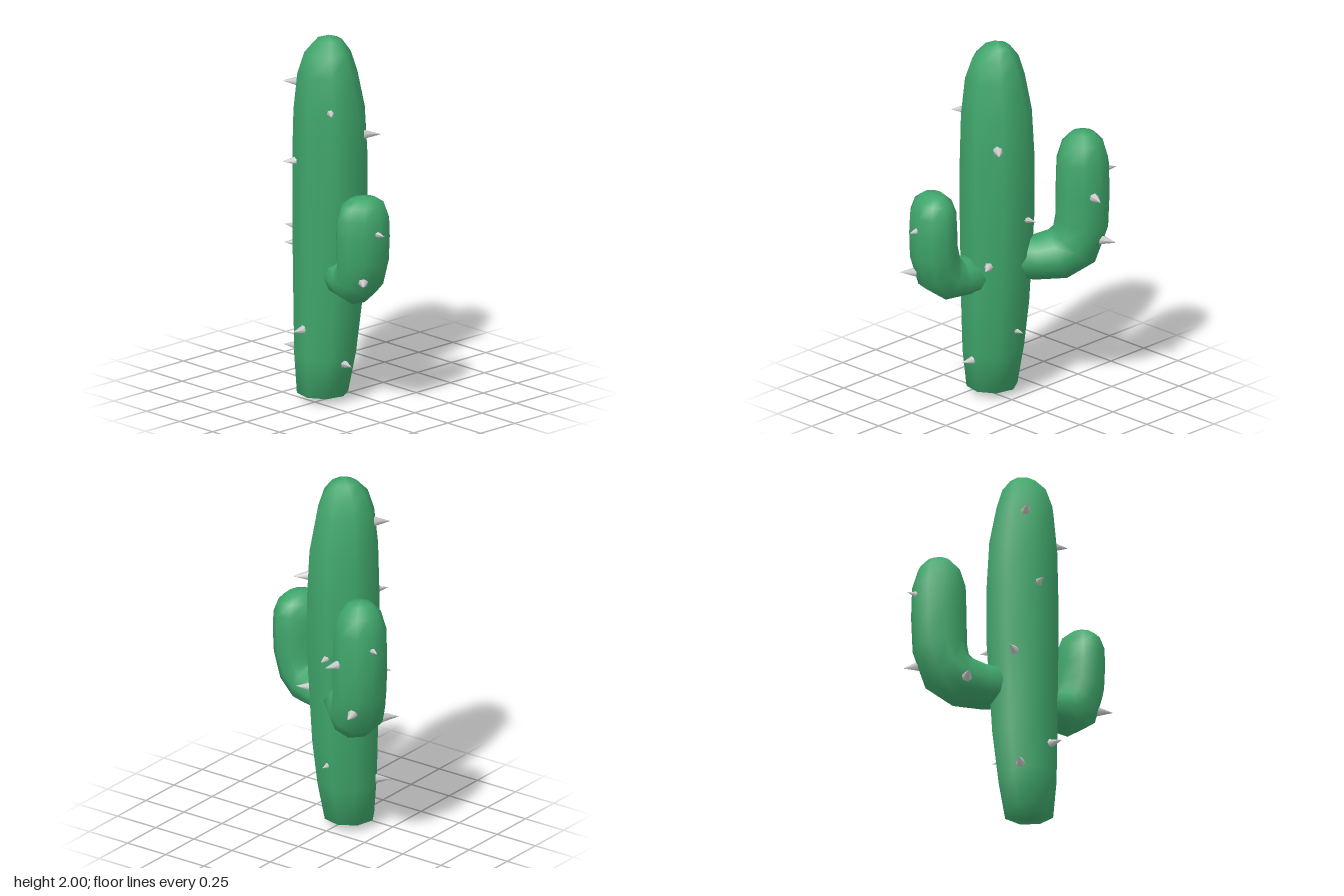
import * as THREE from 'three';
import { mergeVertices } from 'three/addons/utils/BufferGeometryUtils.js';

const green = new THREE.MeshStandardMaterial({ color: 0x3fa66b });
const grey = new THREE.MeshStandardMaterial({ color: 0xcccccc });
const UP = new THREE.Vector3(0, 1, 0);

// Skins rings [x, y, z, tilt, sideRadius, upRadius]; tilt 0 runs along dir, 90 runs straight up.
function loft(name, rings, dir, sides, phase) {
  const side = dir.clone().cross(UP);
  const pos = [], index = [];
  rings.forEach(([x, y, z, tilt, rs, ru], i) => {
    const t = THREE.MathUtils.degToRad(tilt);
    const u = UP.clone().multiplyScalar(Math.cos(t)).addScaledVector(dir, -Math.sin(t));
    for (let j = 0; j < sides; j++) {
      const a = phase + (j / sides) * Math.PI * 2;
      const p = new THREE.Vector3(x, y, z)
        .addScaledVector(side, rs * Math.cos(a))
        .addScaledVector(u, -ru * Math.sin(a));
      pos.push(p.x, p.y, p.z);
      if (i === 0) continue;
      const k = (j + 1) % sides, lo = (i - 1) * sides, hi = i * sides;
      index.push(lo + j, lo + k, hi + k, lo + j, hi + k, hi + j);
    }
  });
  let geo = new THREE.BufferGeometry();
  geo.setAttribute('position', new THREE.Float32BufferAttribute(pos, 3));
  geo.setIndex(index);
  geo = mergeVertices(geo, 1e-5);
  geo.computeVertexNormals();
  const mesh = new THREE.Mesh(geo, green);
  mesh.name = name;
  return mesh;
}

// Arm leaving the trunk axis along (dx, dz); profile rows are [distance, y, tilt, sideRadius, upRadius].
function arm(name, dx, dz, profile) {
  const dir = new THREE.Vector3(dx, 0, dz).normalize();
  const rings = profile.map(([d, y, tilt, rs, ru]) =>
    [-0.122 + dir.x * d, y, -0.017 + dir.z * d, tilt, rs, ru]);
  return loft(name, rings, dir, 10, 0);
}

// Spine with the given tip, pointing away from a vertical axis at (ax, az).
function spine(name, [x, y, z], ax, az) {
  const dir = new THREE.Vector3(x - ax, 0, z - az).normalize();
  const mesh = new THREE.Mesh(new THREE.ConeGeometry(0.028, 0.09, 6), grey);
  mesh.position.set(x, y, z).addScaledVector(dir, -0.045);
  mesh.quaternion.setFromUnitVectors(UP, dir);
  mesh.name = name;
  return mesh;
}

export function createModel() {
  const group = new THREE.Group();
  group.name = 'cactus';

  // Trunk: x, y, z, radius
  const trunk = [
    [-0.17, 0, -0.025, 0], [-0.17, 0.035, -0.025, 0.137], [-0.156, 0.25, -0.02, 0.165],
    [-0.14, 0.5, -0.018, 0.182], [-0.125, 1.0, -0.017, 0.2], [-0.125, 1.35, -0.017, 0.2],
    [-0.13, 1.6, -0.017, 0.19], [-0.142, 1.8, -0.018, 0.16], [-0.14, 1.91, -0.02, 0.124],
    [-0.13, 1.975, -0.02, 0.07], [-0.13, 2.0, -0.02, 0],
  ].map(([x, y, z, r]) => [x, y, z, 90, r, r]);
  group.add(loft('trunk', trunk, new THREE.Vector3(1, 0, 0), 8, THREE.MathUtils.degToRad(9.5)));

  // Tall arm at the back
  group.add(arm('backArm', 0.302, -0.335, [
    [0.05, 0.775, 0, 0, 0], [0.05, 0.775, 0, 0.125, 0.11], [0.2, 0.77, 0, 0.13, 0.12],
    [0.32, 0.785, 20, 0.14, 0.138], [0.405, 0.84, 50, 0.145, 0.147], [0.445, 0.97, 82, 0.145, 0.145],
    [0.45, 1.15, 90, 0.147, 0.147], [0.45, 1.32, 90, 0.142, 0.142], [0.45, 1.42, 90, 0.112, 0.112],
    [0.45, 1.47, 90, 0.065, 0.065], [0.45, 1.485, 90, 0, 0],
  ]));

  // Short arm at the front
  group.add(arm('frontArm', -0.115, 0.369, [
    [0.08, 0.71, 0, 0, 0], [0.08, 0.71, 0, 0.11, 0.1], [0.22, 0.71, 0, 0.115, 0.105],
    [0.29, 0.72, 20, 0.12, 0.125], [0.352, 0.775, 52, 0.13, 0.135], [0.382, 0.88, 80, 0.145, 0.127],
    [0.386, 1.0, 90, 0.15, 0.125], [0.386, 1.1, 90, 0.147, 0.12], [0.386, 1.17, 90, 0.12, 0.095],
    [0.386, 1.205, 90, 0.07, 0.055], [0.386, 1.213, 90, 0, 0],
  ]));

  // Spine tips on each limb, with the axis they point away from
  const spines = [
    ['trunkSpine', -0.13, -0.017, [
      [-0.29, 1.62, 0.165], [0.07, 1.45, 0.17], [-0.35, 1.32, -0.145], [0.125, 1.03, -0.055],
      [0, 0.785, 0.2], [-0.385, 0.41, -0.025], [0.065, 0.39, -0.02], [-0.175, 0.22, 0.2],
      [-0.255, 0.27, -0.235], [-0.22, 0.92, -0.265], [-0.29, 1.74, -0.205],
    ]],
    ['backArmSpine', 0.18, -0.35, [
      [0.385, 1.15, -0.275], [0.37, 0.88, -0.41], [0.26, 1.25, -0.525],
    ]],
    ['backArmSpine', 0.05, -0.3, [[-0.07, 0.75, -0.425]]],
    ['frontArmSpine', -0.237, 0.352, [[-0.245, 1.03, 0.525], [-0.36, 0.765, 0.48]]],
  ];
  for (const [name, ax, az, tips] of spines)
    for (const tip of tips) group.add(spine(name, tip, ax, az));

  return group;
}
